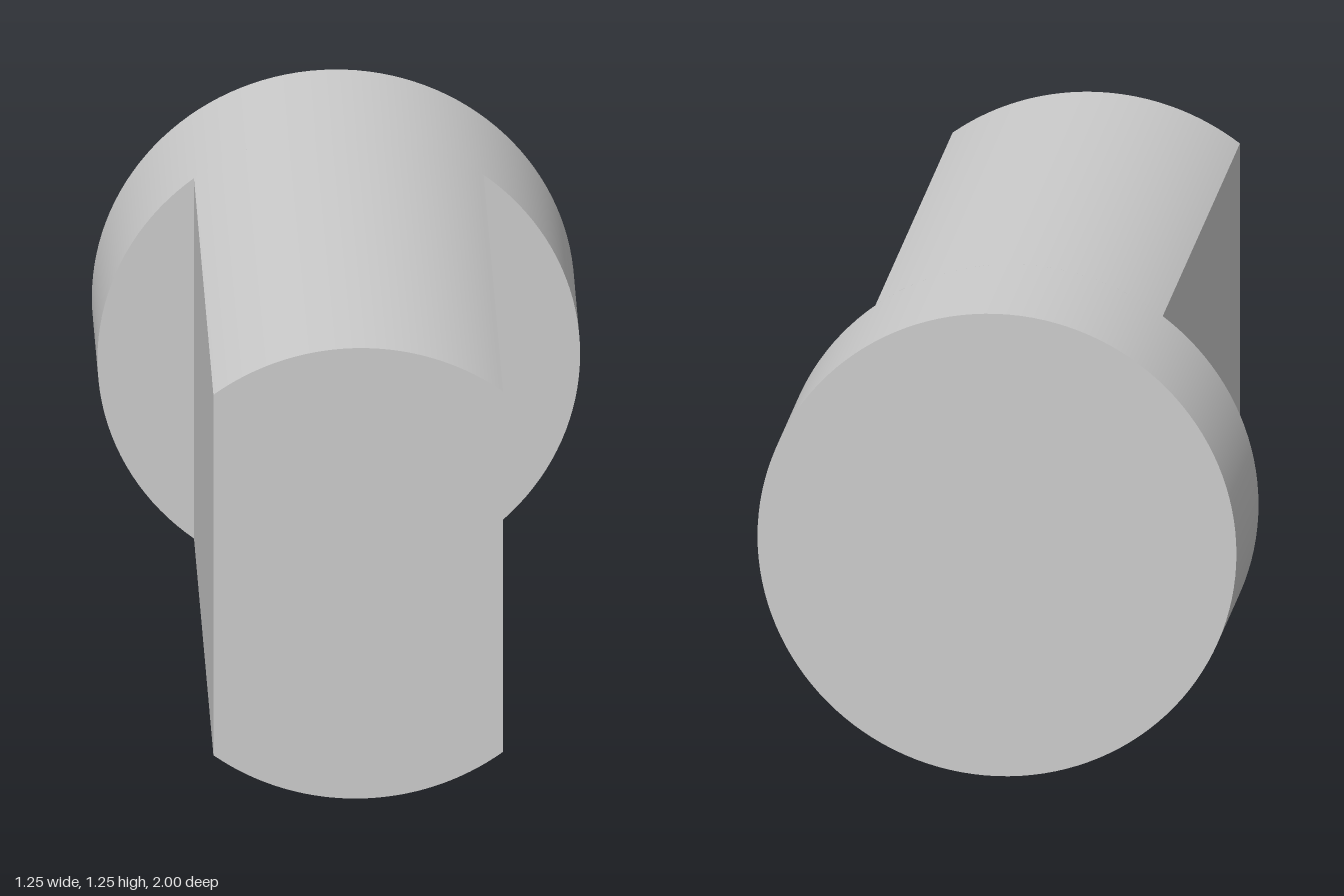
import * as THREE from 'three';
import { toCreasedNormals } from 'three/addons/utils/BufferGeometryUtils.js';

const RADIUS = 0.625;
const HALF_WIDTH = 0.375; // distance from the axis to each side flat
const BACK = -1, SHOULDER = -0.555, FRONT = 1;

export function createModel() {
  const group = new THREE.Group();
  group.name = 'flattedPin';
  const material = new THREE.MeshStandardMaterial({ color: 0xcccccc });

  // Full round head at the back
  const headLength = SHOULDER - BACK;
  const headGeometry = new THREE.CylinderGeometry(RADIUS, RADIUS, headLength, 128);
  headGeometry.rotateX(Math.PI / 2);
  const head = new THREE.Mesh(headGeometry, material);
  head.name = 'roundHead';
  head.position.set(0, RADIUS, BACK + headLength / 2);
  group.add(head);

  // Shank: the same circle cut by two vertical flats
  const angle = Math.acos(HALF_WIDTH / RADIUS);
  const profile = new THREE.Shape();
  profile.absarc(0, 0, RADIUS, angle, Math.PI - angle, false);
  profile.absarc(0, 0, RADIUS, Math.PI + angle, 2 * Math.PI - angle, false);
  profile.closePath();
  const shankGeometry = new THREE.ExtrudeGeometry(profile, {
    depth: FRONT - SHOULDER, bevelEnabled: false, curveSegments: 32,
  });
  const shank = new THREE.Mesh(toCreasedNormals(shankGeometry, 0.5), material);
  shank.name = 'flattedShank';
  shank.position.set(0, RADIUS, SHOULDER);
  group.add(shank);

  return group;
}
